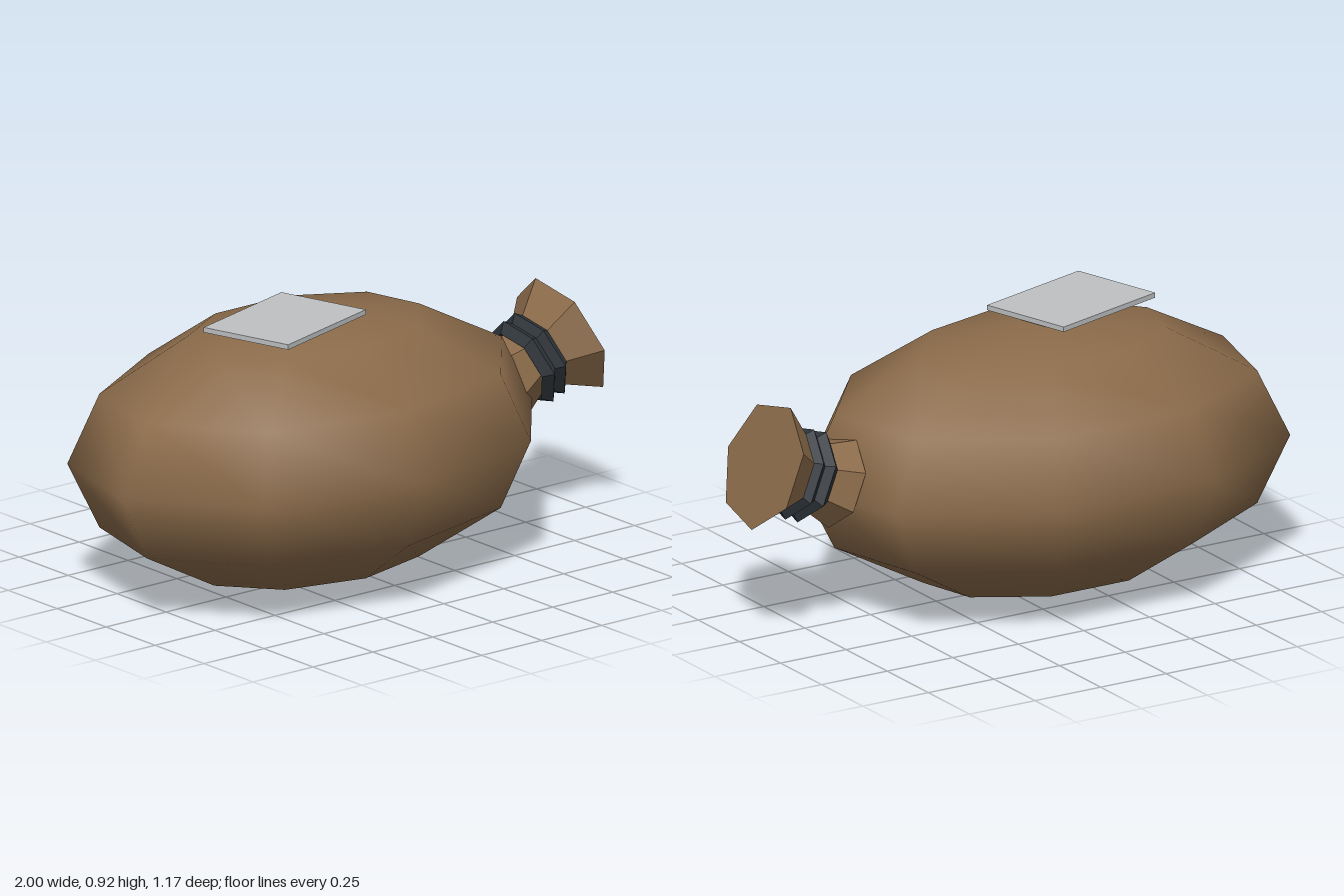
import * as THREE from 'three';

const brown = new THREE.MeshStandardMaterial({ color: 0x8b6b4a });
brown.name = 'sackcloth brown';
const dark = new THREE.MeshStandardMaterial({ color: 0x30363c });
dark.name = 'dark cord';
const grey = new THREE.MeshStandardMaterial({ color: 0xbec0c2 });
grey.name = 'pale grey label';

// Facets a geometry with one normal per face
function faceted(geometry) {
  const g = geometry.toNonIndexed();
  g.computeVertexNormals();
  return g;
}

function add(parent, name, geometry, material) {
  const mesh = new THREE.Mesh(geometry, material);
  mesh.name = name;
  parent.add(mesh);
  return mesh;
}

export function createModel() {
  const model = new THREE.Group();
  model.name = 'tiedSack';

  // Smooth-shaded nine-sided body
  const body = add(model, 'sackBody', new THREE.SphereGeometry(1, 9, 6, Math.PI / 2), brown);
  body.scale.set(0.868, 0.4525, 0.603);
  body.position.set(-0.145, 0.4525, -0.023);

  // Tilted neck; local y runs along the neck, with 0 at the open end
  const neck = new THREE.Group();
  neck.name = 'neck';
  neck.position.set(0.922, 0.596, -0.021);
  neck.rotation.z = -1.207;
  model.add(neck);

  const cone = (name, rTop, rBottom, yTop, yBottom) => {
    const g = new THREE.CylinderGeometry(rTop, rBottom, yTop - yBottom, 7);
    g.translate(0, (yTop + yBottom) / 2, 0);
    add(neck, name, faceted(g), brown);
  };
  cone('neckBase', 0.1, 0.154, -0.15, -0.3);
  cone('neckFlare', 0.214, 0.1, 0, -0.15);

  // Cord wound around the neck
  [-0.175, -0.125].forEach((y, i) => {
    const g = new THREE.TorusGeometry(0.128, 0.03, 4, 7);
    g.rotateX(Math.PI / 2);
    g.rotateY(-Math.PI / 2);
    g.translate(0, y, 0);
    add(neck, 'cordLoop' + (i + 1), faceted(g), dark);
  });

  // Flat label resting on top
  const label = add(model, 'label', new THREE.BoxGeometry(0.449, 0.017, 0.329), grey);
  label.position.set(-0.2975, 0.9085, 0.0525);
  label.rotation.y = 0.293;

  return model;
}
